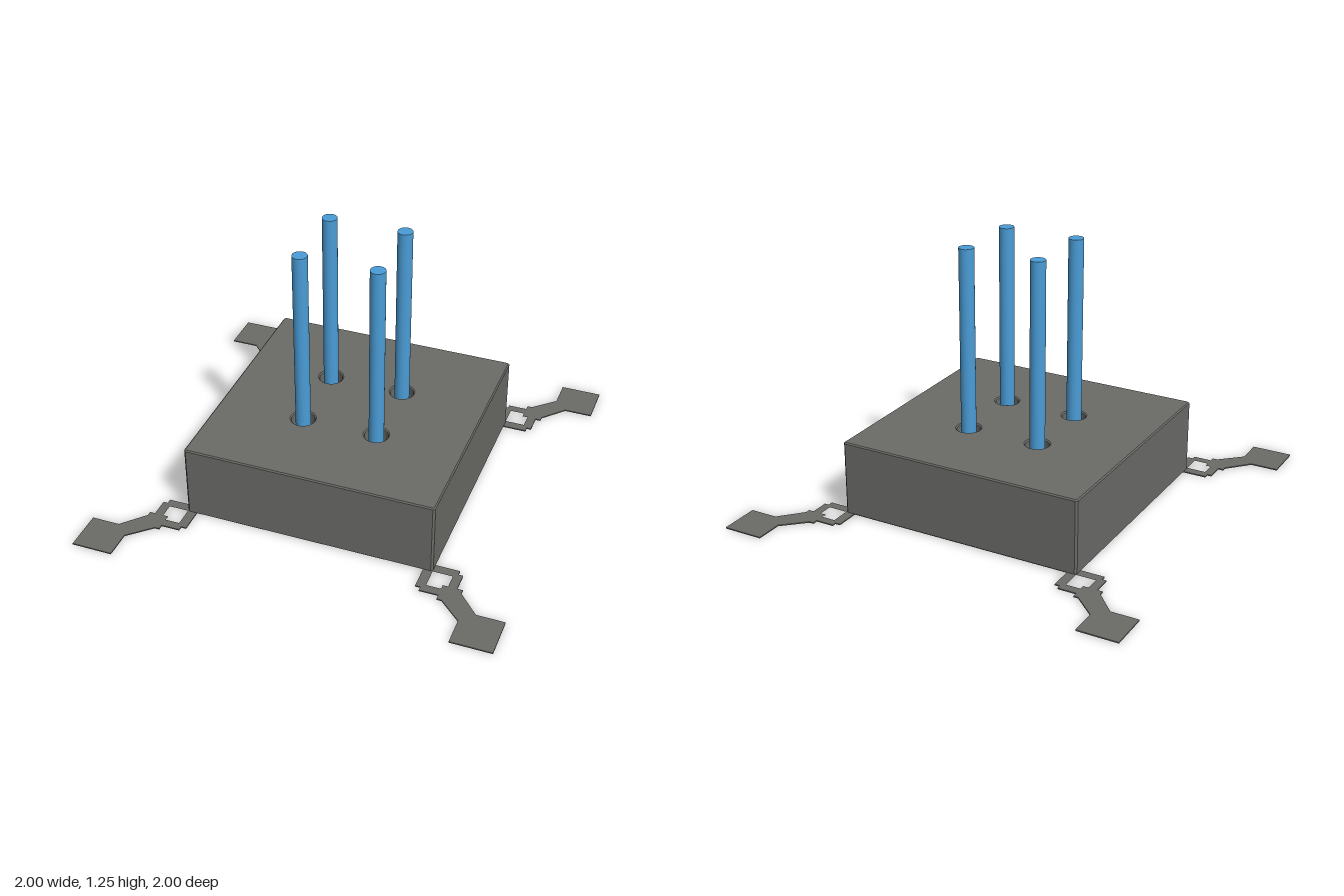
import * as THREE from 'three';

const HALF = 0.605;      // half width of the block
const TOP = 0.365;       // height of the block
const ROD = 0.183;       // rod offset from the centre
const HOLE_R = 0.062;
const FLOOR = 0.02;
const TAB = 0.006;       // thickness of the corner tabs

const grey = new THREE.MeshStandardMaterial({ color: 0x6a6a67 });
grey.name = 'dark grey';
const blue = new THREE.MeshStandardMaterial({ color: 0x4a9cd6 });
blue.name = 'blue';

function add(parent, name, geometry, material) {
  const mesh = new THREE.Mesh(geometry, material);
  mesh.name = name;
  parent.add(mesh);
  return mesh;
}

const points = (list) => list.map(([x, y]) => new THREE.Vector2(x, y));

// Completes a half outline by mirroring it across the diagonal x = y
function mirrorDiagonal(half) {
  const back = half.slice(1, -1).reverse().map(([x, y]) => [y, x]);
  return points([...half, ...back]);
}

// Extrudes a plan shape so that it lies flat with its underside at y = bottom
function flatExtrude(shape, bottom, height, bevel = 0) {
  const geometry = new THREE.ExtrudeGeometry(shape, {
    depth: height - 2 * bevel, bevelEnabled: bevel > 0, bevelSize: bevel,
    bevelThickness: bevel, bevelSegments: 1, curveSegments: 24,
  });
  geometry.rotateX(Math.PI / 2);
  geometry.translate(0, bottom + height - bevel, 0);
  return geometry;
}

// Chamfered block with four round holes
function blockGeometry() {
  const b = 0.006, s = HALF - b, c = s - b;
  const shape = new THREE.Shape(points([
    [-c, -s], [c, -s], [s, -c], [s, c], [c, s], [-c, s], [-s, c], [-s, -c],
  ]));
  for (const x of [-ROD, ROD]) for (const z of [-ROD, ROD]) {
    const hole = new THREE.Path();
    hole.absarc(x, z, HOLE_R, 0, Math.PI * 2, true);
    shape.holes.push(hole);
  }
  return flatExtrude(shape, 0, TOP, b);
}

// Thin square loop, diagonal neck and square pad in one sheet
function tabGeometry() {
  const shape = new THREE.Shape(mirrorDiagonal([
    [0.56, 0.56], [0.56, 0.72], [0.585, 0.72], [0.585, 0.742], [0.675, 0.742],
    [0.675, 0.768], [0.698, 0.768], [0.804, 0.866], [0.804, 1], [1, 1],
  ]));
  shape.holes.push(new THREE.Path(mirrorDiagonal([
    [0.605, 0.605], [0.605, 0.7], [0.675, 0.7], [0.675, 0.675],
  ])));
  return flatExtrude(shape, 0, TAB);
}

export function createModel() {
  const model = new THREE.Group();
  model.name = 'blockWithRods';

  add(model, 'block', blockGeometry(), grey);
  const floor = new THREE.BoxGeometry(0.56, FLOOR, 0.56);
  add(model, 'holeFloor', floor, grey).position.y = FLOOR / 2;

  // Rods standing in the holes
  const rodHeight = 1.25 - FLOOR;
  const rod = new THREE.CylinderGeometry(0.036, 0.036, rodHeight, 32);
  for (const x of [-ROD, ROD]) for (const z of [-ROD, ROD]) {
    add(model, 'rod', rod, blue).position.set(x, FLOOR + rodHeight / 2, z);
  }

  // One tab at each corner
  const tab = tabGeometry();
  for (let i = 0; i < 4; i++) {
    add(model, 'cornerTab', tab, grey).rotation.y = i * Math.PI / 2;
  }
  return model;
}
